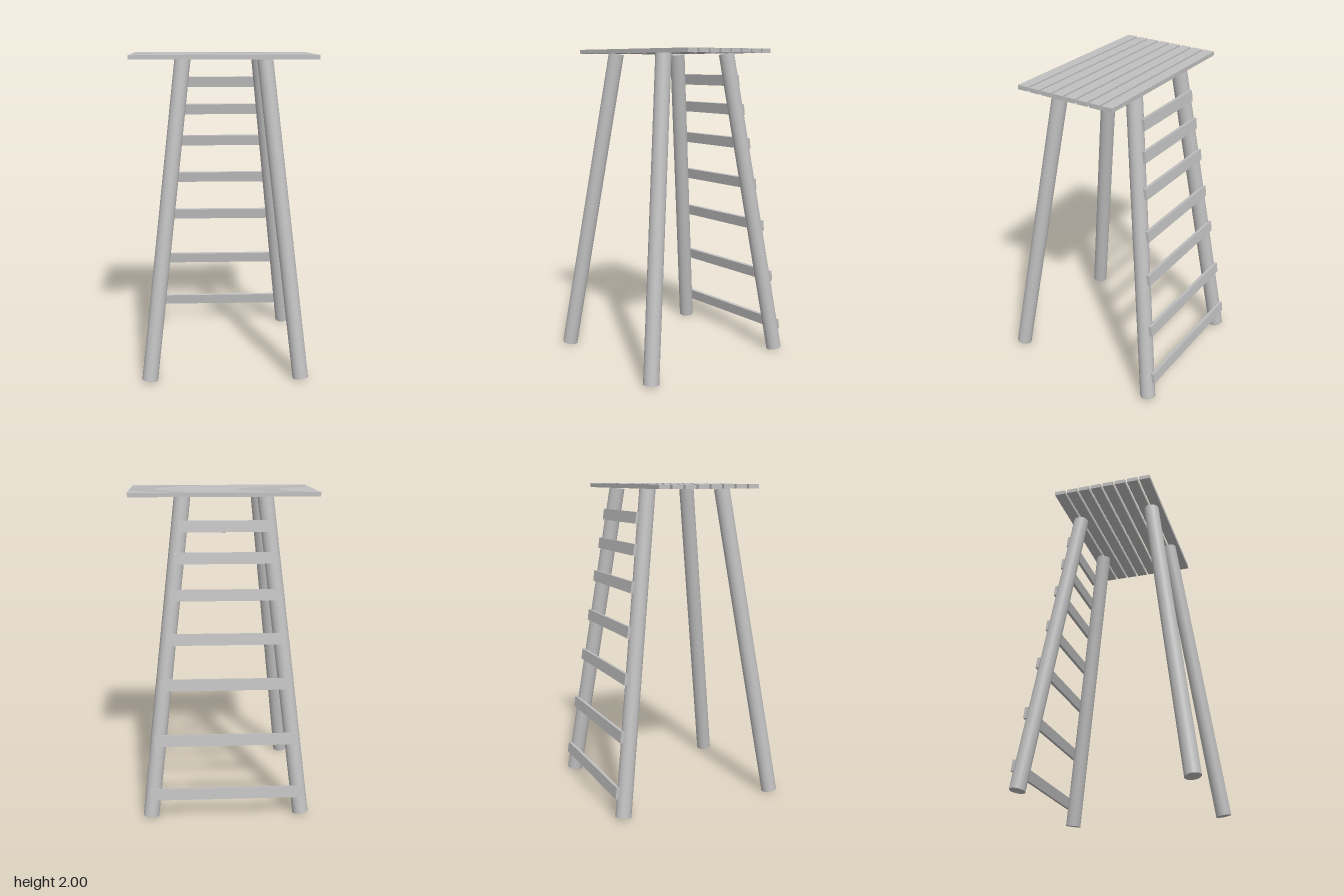
import * as THREE from 'three';

const LEG_RADIUS = 0.049;
const FOOT = { x: 0.472, y: 0.009, z: 0.518 };
const HEAD = { x: 0.252, y: 1.972, z: 0.253 };

// Point on the axis of the (+x, +z) leg at a given height
function legAt(y) {
  const t = (y - FOOT.y) / (HEAD.y - FOOT.y);
  return {
    x: THREE.MathUtils.lerp(FOOT.x, HEAD.x, t),
    z: THREE.MathUtils.lerp(FOOT.z, HEAD.z, t),
  };
}

function makeLeg(sx, sz, material) {
  const a = new THREE.Vector3(FOOT.x * sx, FOOT.y, FOOT.z * sz);
  const b = new THREE.Vector3(HEAD.x * sx, HEAD.y, HEAD.z * sz);
  const axis = b.clone().sub(a);
  const leg = new THREE.Mesh(
    new THREE.CylinderGeometry(LEG_RADIUS, LEG_RADIUS, axis.length(), 40), material);
  leg.position.copy(a).add(b).multiplyScalar(0.5);
  leg.quaternion.setFromUnitVectors(new THREE.Vector3(0, 1, 0), axis.normalize());
  leg.name = (sz > 0 ? 'front' : 'rear') + (sx > 0 ? 'Left' : 'Right') + 'Leg';
  return leg;
}

export function createModel() {
  const model = new THREE.Group();
  model.name = 'ladderPlatform';
  const grey = new THREE.MeshStandardMaterial({ color: 0xc0c0c0 });
  grey.name = 'grey';

  // Four splayed round legs
  for (const sx of [-1, 1]) for (const sz of [-1, 1]) model.add(makeLeg(sx, sz, grey));

  // Platform of evenly spaced slats
  const platform = new THREE.Group();
  platform.name = 'platform';
  const slatGeometry = new THREE.BoxGeometry(1.156, 0.026, 0.069);
  for (let i = 0; i < 8; i++) {
    const slat = new THREE.Mesh(slatGeometry, grey);
    slat.position.set(0, 1.987, (i - 3.5) * 0.0829 + 0.002);
    slat.name = 'slat' + (i + 1);
    platform.add(slat);
  }
  model.add(platform);

  // Ladder rungs fixed to the outside of the rear legs, leaning with them
  const ladder = new THREE.Group();
  ladder.name = 'ladder';
  const lean = Math.atan2(FOOT.z - HEAD.z, HEAD.y - FOOT.y);
  const rungs = [ // height, half length
    [0.164, 0.472], [0.502, 0.441], [0.847, 0.4], [1.125, 0.36],
    [1.392, 0.334], [1.613, 0.306], [1.801, 0.279],
  ];
  rungs.forEach(([y, half], i) => {
    const rung = new THREE.Mesh(new THREE.BoxGeometry(half * 2, 0.07, 0.022), grey);
    rung.position.set(0, y, -legAt(y).z - 0.055);
    rung.rotation.x = lean;
    rung.name = 'rung' + (i + 1);
    ladder.add(rung);
  });
  model.add(ladder);

  return model;
}
